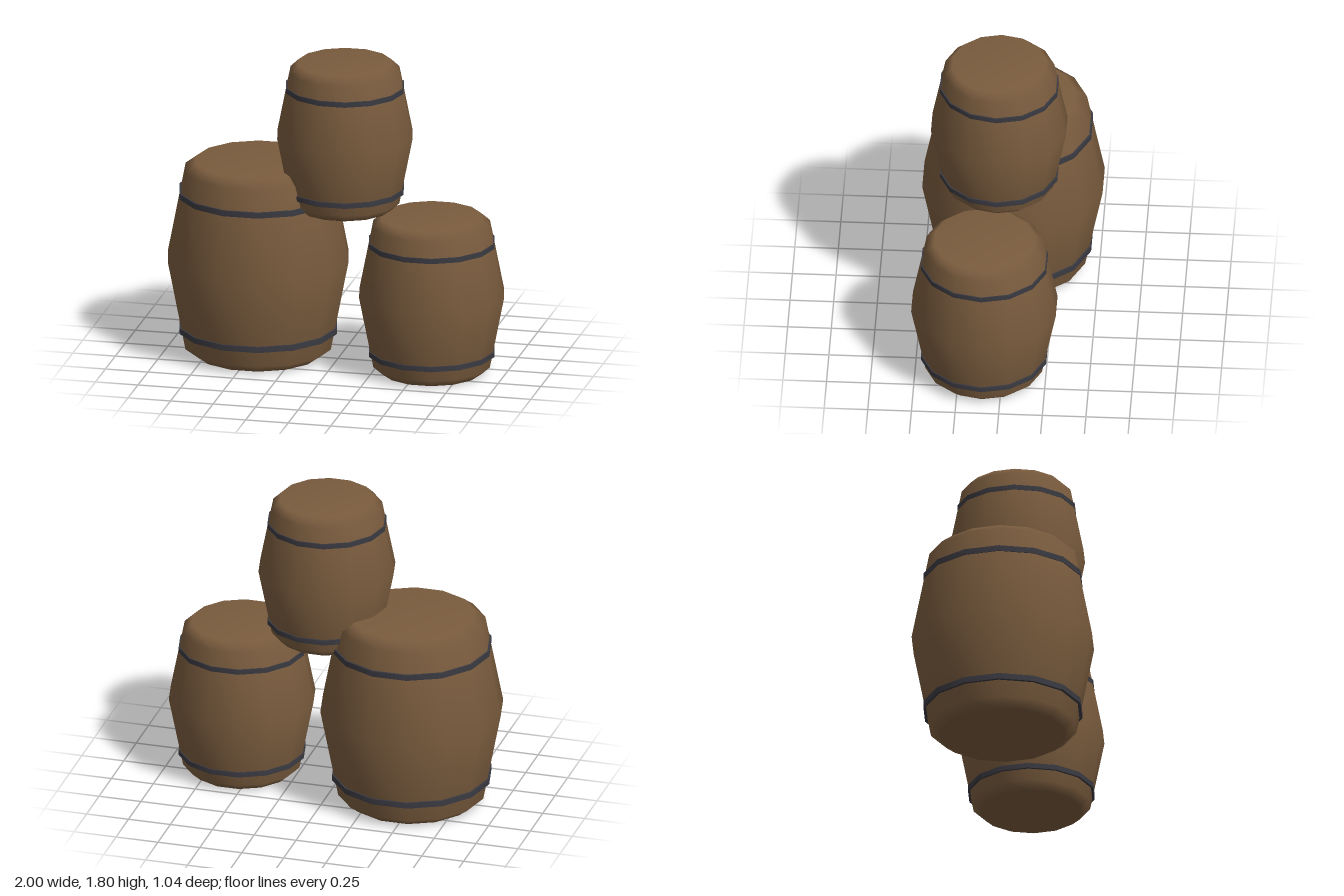
import * as THREE from 'three';
import { toCreasedNormals } from 'three/addons/utils/BufferGeometryUtils.js';

const SIDES = 14;

// Revolve a [radius, y] profile, with a corner pointing along +x
function revolve(profile) {
  const points = profile.map(([r, y]) => new THREE.Vector2(r, y));
  return new THREE.LatheGeometry(points, SIDES, Math.PI / 2);
}

export function createModel() {
  const wood = new THREE.MeshStandardMaterial({ color: 0x7a5c3e });
  wood.name = 'brown wood';
  const iron = new THREE.MeshStandardMaterial({ color: 0x3a3a42 });
  iron.name = 'dark iron';

  // Bulging cask with chamfered rims and two iron hoops
  function barrel(name, { x, y, z, radius, height, chamfer, hoops, hoopRadius, hoopHeight }) {
    const group = new THREE.Group();
    group.name = name;
    group.position.set(x, y, z);

    const rim = radius * 0.685, shoulder = radius * 0.805;
    const body = new THREE.Mesh(revolve([
      [0, 0], [rim, 0], [shoulder, chamfer],
      [radius, height / 2],
      [shoulder, height - chamfer], [rim, height], [0, height],
    ]), wood);
    body.name = 'barrelBody';
    group.add(body);

    hoops.forEach((hy, i) => {
      const inner = hoopRadius - 0.04, h = hoopHeight / 2;
      const band = revolve([
        [inner, -h], [hoopRadius, -h], [hoopRadius, h], [inner, h],
      ]);
      const hoop = new THREE.Mesh(toCreasedNormals(band, 0.7), iron);
      hoop.name = i ? 'upperHoop' : 'lowerHoop';
      hoop.position.y = hy;
      group.add(hoop);
    });
    return group;
  }

  const model = new THREE.Group();
  model.name = 'barrelStack';
  model.add(
    barrel('largeBarrel', {
      x: -0.47, y: 0, z: -0.005, radius: 0.53, height: 1.157, chamfer: 0.048,
      hoops: [0.16, 0.967], hoopRadius: 0.462, hoopHeight: 0.034,
    }),
    barrel('mediumBarrel', {
      x: 0.575, y: 0, z: 0.105, radius: 0.425, height: 0.927, chamfer: 0.045,
      hoops: [0.123, 0.772], hoopRadius: 0.368, hoopHeight: 0.03,
    }),
    barrel('topBarrel', {
      x: 0.052, y: 0.928, z: 0.048, radius: 0.397, height: 0.869, chamfer: 0.045,
      hoops: [0.113, 0.72], hoopRadius: 0.345, hoopHeight: 0.03,
    }),
  );
  return model;
}
